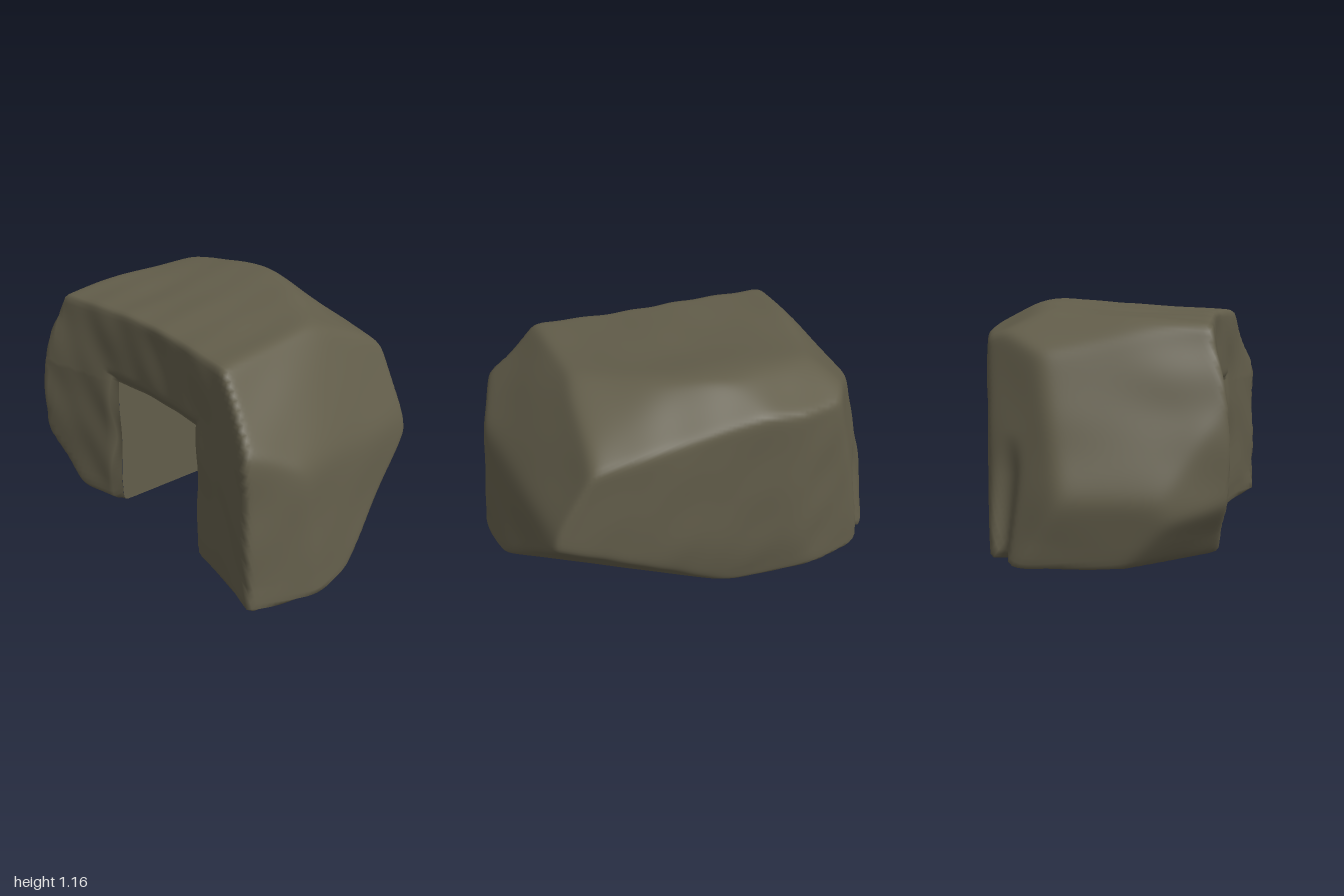
import * as THREE from 'three';

// Facets of the boulder: outward normal, then a point on the facet
const facets = [
  [0, -1, 0, 0, 0, 0],                          // floor
  [-0.04, 1, 0.06, 0, 1.11, 0.4],               // roof, two slight slopes
  [0.04, 1, 0.06, 0, 1.11, 0.4],
  [0.045, 0.235, -0.165, 0, 1.165, -0.35],      // rear roof slopes
  [0.085, 0.295, -0.12, 0, 1.175, -0.35],
  [-0.02, 0.106, -0.045, -0.33, 1.035, -0.6],   // rear corner slope
  [0, 0, -1, 0, 0.5, -0.595],                   // back
  [0, -0.2, -1, 0, 0.15, -0.57],                // back, lower
  [-0.13, 0, -0.38, -0.6, 0.5, -0.54],          // back corner
  [-0.4, 0.08, -0.2, -0.95, 0.3, -0.22],
  [-0.92, 0.32, 0.18, -1.01, 0.32, -0.07],      // -x side
  [-0.99, -0.22, 0.18, -1.01, 0.32, -0.07],
  [-0.6, 0.8, 0, -0.7, 1.04, 0],                // -x shoulder
  [-0.7, 0.02, 0.5, -0.77, 0.3, 0.57],          // front corner
  [-1, -1, 1, -0.75, 0.27, 0.58],               // chipped front foot
  [0.77, 0.64, -0.05, 0.59, 1.09, 0.2],         // +x shoulder
  [0.28, 0.161, -0.083, 0.93, 0.6, 0.1],        // +x rear flank
  [0.82, 0.1, -0.2, 1.01, 0.03, 0.22],          // +x side
  [0.37, 0.03, 0.1, 1.01, 0.03, 0.24],
  [0.165, -0.34, -0.331, 0.95, 0, 0],           // undercut rear foot
].map(([a, b, c, x, y, z]) => {
  const n = new THREE.Vector3(a, b, c).normalize();
  return [n.x, n.y, n.z, n.x * x + n.y * y + n.z * z];
});

const ROUND = 0.013;
const { smoothstep } = THREE.MathUtils;

// Doorway box: open at the front and at the floor
const door = { x0: -0.24, x1: 0.37, top: 0.7, back: -0.32 };
const doorSides = [
  (p) => p.x - door.x1, (p) => door.x0 - p.x, (p) => p.y - door.top, (p) => door.back - p.z,
];

// Signed distance-like field of the rock, below zero inside
function rock(x, y, z) {
  const t = (x - 0.15) / 0.8;
  const d = facets.map(([a, b, c, w]) => a * x + b * y + c * z - w);
  // hollowed front face, its outer ends leaning back towards the top,
  // softened around the doorway
  const q = Math.max(0, door.x0 - x, x - door.x1, y - door.top);
  d.push(z - 0.46 - t * t * (0.135 - 0.15 * Math.max(0, y - 0.7)) + 0.03 * Math.exp(-q * q / 0.0012));
  const m = Math.max(...d);
  let sum = 0;
  for (const v of d) sum += Math.exp((v - m) / ROUND);
  // weathered bumps, stronger on the front and roof, none on the floor
  const amount = 0.0025 + 0.0025 * smoothstep(z + y * 0.4, 0.3, 0.7);
  const bumps = Math.sin(9 * x + 5 * y + 2) * Math.sin(11 * y - 6 * z) +
    0.7 * Math.sin(17 * x - 8 * z + 1) * Math.sin(15 * y + 9 * x + 4 * z);
  // upright groove in the rear corner
  const groove = 0.05 * Math.exp(-((x + 0.87) ** 2 + (z + 0.37) ** 2) / 0.0025) *
    (1 - smoothstep(y, 0.4, 0.6));
  // low crest on the roof
  const crest = 0.02 * Math.exp(-((x + 0.05) ** 2) / 0.1 - ((z + 0.3) ** 2) / 0.03) * smoothstep(y, 0.9, 1.1);
  return m + ROUND * Math.log(sum) + amount * bumps * Math.min(1, Math.max(0, y * 8)) + groove - crest;
}

const rockAt = (p) => rock(p.x, p.y, p.z);

function rockNormal(p) {
  const e = 0.004, f = rockAt(p);
  return new THREE.Vector3(
    rock(p.x + e, p.y, p.z) - f, rock(p.x, p.y + e, p.z) - f, rock(p.x, p.y, p.z + e) - f).normalize();
}

// Part of a convex polygon where the field g is below zero
function clip(poly, g) {
  const out = [];
  poly.forEach((a, i) => {
    const b = poly[(i + 1) % poly.length];
    const ga = g(a.p), gb = g(b.p);
    if (ga < 0) out.push(a);
    if ((ga < 0) !== (gb < 0)) {
      const t = ga / (ga - gb);
      out.push({ p: a.p.clone().lerp(b.p, t), n: a.n.clone().lerp(b.n, t).normalize() });
    }
  });
  return out;
}

// Fan-triangulate polygons into one geometry
function toGeometry(polys) {
  const pos = [], nor = [];
  for (const poly of polys) {
    for (let i = 2; i < poly.length; i++) {
      for (const v of [poly[0], poly[i - 1], poly[i]]) {
        pos.push(v.p.x, v.p.y, v.p.z);
        nor.push(v.n.x, v.n.y, v.n.z);
      }
    }
  }
  const geo = new THREE.BufferGeometry();
  geo.setAttribute('position', new THREE.Float32BufferAttribute(pos, 3));
  geo.setAttribute('normal', new THREE.Float32BufferAttribute(nor, 3));
  return geo;
}

function triangles(geo, makeVertex) {
  const g = geo.index ? geo.toNonIndexed() : geo;
  const pos = g.attributes.position, out = [];
  for (let i = 0; i < pos.count; i += 3) {
    out.push([0, 1, 2].map((k) => makeVertex(new THREE.Vector3().fromBufferAttribute(pos, i + k))));
  }
  return out;
}

// Outer rock skin: a sphere pushed onto the field, with the doorway cut out
function boulderGeometry() {
  const centre = new THREE.Vector3(0.05, 0.55, 0);
  const project = (dir) => {
    dir.normalize();
    let lo = 0, hi = 1.8;
    const p = new THREE.Vector3();
    for (let i = 0; i < 18; i++) {
      const mid = (lo + hi) / 2;
      p.copy(centre).addScaledVector(dir, mid);
      if (rockAt(p) < 0) lo = mid; else hi = mid;
    }
    return { p, n: rockNormal(p) };
  };
  const kept = [];
  for (const tri of triangles(new THREE.IcosahedronGeometry(1, 46), project)) {
    let rest = tri;
    for (const g of doorSides) {
      const outside = clip(rest, (p) => -g(p));
      if (outside.length > 2) kept.push(outside);
      rest = clip(rest, g);
      if (rest.length < 3) break;
    }
  }
  return toGeometry(kept);
}

// Flat doorway wall trimmed to the rock
function wallGeometry(width, height, rotX, rotY, x, y, z) {
  const plane = new THREE.PlaneGeometry(width, height, 36, 36);
  plane.rotateX(rotX).rotateY(rotY).translate(x, y, z);
  const n = new THREE.Vector3().fromBufferAttribute(plane.attributes.normal, 0);
  return toGeometry(triangles(plane, (p) => ({ p, n })).map((t) => clip(t, rockAt)).filter((t) => t.length > 2));
}

export function createModel() {
  const stone = new THREE.MeshStandardMaterial({ color: 0x625d4a });
  stone.name = 'stone';
  const model = new THREE.Group();
  model.name = 'rockShelter';
  const add = (name, geo) => {
    const mesh = new THREE.Mesh(geo, stone);
    mesh.name = name;
    model.add(mesh);
  };

  add('boulder', boulderGeometry());

  const w = door.x1 - door.x0, cx = (door.x0 + door.x1) / 2;
  const h = door.top + 0.05, cy = door.top - h / 2;
  const depth = 0.95, cz = door.back + depth / 2;
  add('doorwayBack', wallGeometry(w, h, 0, 0, cx, cy, door.back));
  add('doorwayCeiling', wallGeometry(w, depth, Math.PI / 2, 0, cx, door.top, cz));
  add('doorwaySideRight', wallGeometry(depth, h, 0, Math.PI / 2, door.x0, cy, cz));
  add('doorwaySideLeft', wallGeometry(depth, h, 0, -Math.PI / 2, door.x1, cy, cz));
  return model;
}
